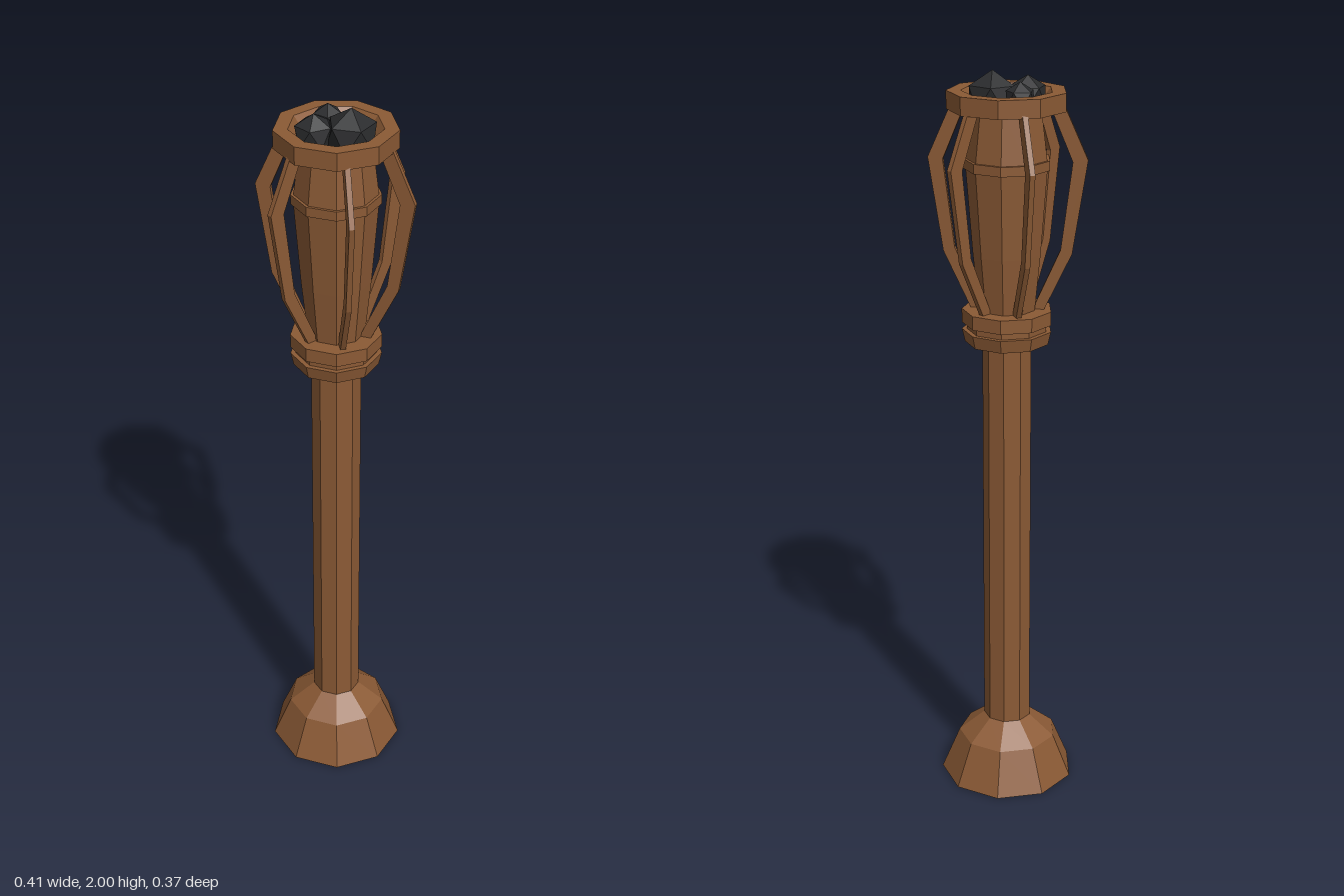
import * as THREE from 'three';

const wood = new THREE.MeshStandardMaterial({ color: 0x8b5a35, flatShading: true });
const coal = new THREE.MeshStandardMaterial({ color: 0x2a2b2d, flatShading: true });
const SIDES = 9;

// Nine-sided turned part from [radius, height] pairs, a corner facing the back
function turned(name, profile) {
  const points = profile.map(([r, y]) => new THREE.Vector2(r, y));
  const mesh = new THREE.Mesh(new THREE.LatheGeometry(points, SIDES, Math.PI), wood);
  mesh.name = name;
  return mesh;
}

export function createModel() {
  const torch = new THREE.Group();
  torch.name = 'standingTorch';

  // Foot, post and grooved collar
  torch.add(
    turned('foot', [[0, 0], [0.187, 0], [0.137, 0.12], [0.066, 0.177], [0, 0.177]]),
    turned('post', [[0.066, 0.17], [0.066, 1.3]]),
    turned('collar', [
      [0, 1.29], [0.112, 1.29], [0.12, 1.325], [0.107, 1.325],
      [0.107, 1.343], [0.12, 1.343], [0.12, 1.38], [0, 1.38],
    ]),
  );

  // Barrel-like cup, its band and the rim with a sloping bowl
  torch.add(
    turned('cup', [[0.074, 1.37], [0.09, 1.53], [0.108, 1.765], [0.09, 1.91]]),
    turned('cupBand', [[0.1, 1.752], [0.114, 1.752], [0.114, 1.777], [0.1, 1.777]]),
    turned('rim', [
      [0.083, 1.903], [0.155, 1.903], [0.155, 1.95], [0.118, 1.95],
      [0.083, 1.905], [0, 1.905],
    ]),
  );

  // Bowed struts, slightly unevenly spaced around the cup
  const outline = [
    [0.062, 1.37], [0.092, 1.37], [0.168, 1.53], [0.206, 1.775], [0.145, 1.912],
    [0.108, 1.912], [0.167, 1.77], [0.138, 1.54],
  ];
  const thickness = 0.014;
  const strutGeometry = new THREE.ExtrudeGeometry(
    new THREE.Shape(outline.map(([r, y]) => new THREE.Vector2(r, y))),
    { depth: thickness, bevelEnabled: false },
  ).translate(0, 0, -thickness / 2);
  const struts = new THREE.Group();
  struts.name = 'struts';
  for (const degrees of [0.5, 60, 121.5, 175.5, 244, 306]) {
    const strut = new THREE.Mesh(strutGeometry, wood);
    strut.name = 'strut';
    strut.rotation.y = -THREE.MathUtils.degToRad(degrees);
    struts.add(strut);
  }
  torch.add(struts);

  // Coals: icosahedra standing on a corner, [x, top, z, radius, turn]
  const coals = new THREE.Group();
  coals.name = 'coals';
  const tilt = Math.atan(2 / (1 + Math.sqrt(5)));
  for (const [x, top, z, radius, turn] of [
    [0.038, 2, -0.003, 0.068, 0.4],
    [-0.048, 1.985, 0.027, 0.052, 1.1],
    [-0.04, 1.98, -0.053, 0.041, 0],
  ]) {
    const geometry = new THREE.IcosahedronGeometry(radius).rotateZ(-tilt).rotateY(turn);
    const lump = new THREE.Mesh(geometry, coal);
    lump.name = 'coal';
    // The corner that starts in the xy plane is brought upright, so height is the radius
    geometry.computeBoundingBox();
    lump.position.set(x, top - geometry.boundingBox.max.y, z);
    coals.add(lump);
  }
  torch.add(coals);
  return torch;
}
